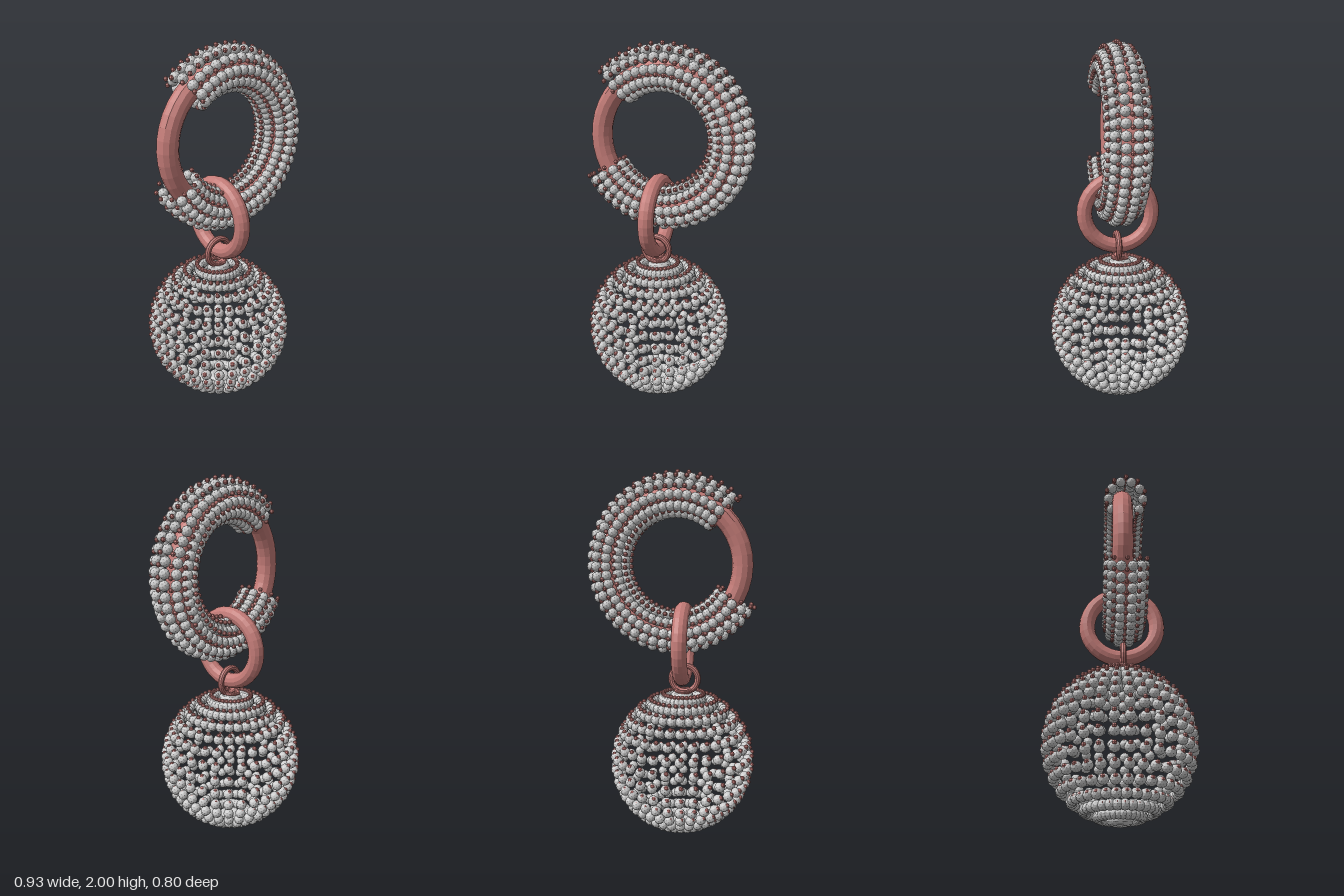
import * as THREE from 'three';
import { mergeGeometries } from 'three/addons/utils/BufferGeometryUtils.js';

const grey = new THREE.MeshStandardMaterial({ color: 0xcccccc, flatShading: true });
const rose = new THREE.MeshStandardMaterial({ color: 0xc47c78, flatShading: true });

function addMesh(parent, name, geometry, material) {
  const mesh = new THREE.Mesh(geometry, material);
  mesh.name = name;
  parent.add(mesh);
  return mesh;
}

// One merged mesh with a copy of the bead at every point
function addBeads(parent, name, bead, points, material) {
  const copies = points.map((p) => bead.clone().translate(p.x, p.y, p.z));
  return addMesh(parent, name, mergeGeometries(copies), material);
}

// Points in rows and columns over a sphere
function spherePoints(radius, rows, columns) {
  const points = [];
  for (let i = 0; i < rows; i++) {
    for (let j = 0; j < columns; j++) {
      points.push(new THREE.Vector3().setFromSphericalCoords(
        radius, ((i + 0.5) * Math.PI) / rows, ((j + 0.5) * 2 * Math.PI) / columns));
    }
  }
  return points;
}

// Points around the tube of a partial ring lying in the xy plane
function ringPoints(radius, tube, start, end, steps, around, phase) {
  const points = [];
  for (let i = 0; i <= steps; i++) {
    const a = THREE.MathUtils.degToRad(start + ((end - start) * i) / steps);
    for (let j = 0; j < around; j++) {
      const b = ((j + phase) * 2 * Math.PI) / around;
      const r = radius + tube * Math.cos(b);
      points.push(new THREE.Vector3(r * Math.cos(a), r * Math.sin(a), tube * Math.sin(b)));
    }
  }
  return points;
}

export function createModel() {
  const model = new THREE.Group();
  model.name = 'beadedPendant';
  const largeBead = new THREE.IcosahedronGeometry(0.028, 1);
  const smallBead = new THREE.SphereGeometry(0.013, 6, 4);

  // Ball of beads, each with a small bead sitting on its upper side
  const ball = new THREE.Group();
  ball.name = 'beadedBall';
  ball.position.set(-0.068, 0.407, 0);
  addBeads(ball, 'ballBeads', largeBead, spherePoints(0.374, 16, 32), grey);
  addBeads(ball, 'ballSmallBeads', smallBead, spherePoints(0.388, 16, 32), rose)
    .position.set(-0.008, 0.018, 0);
  model.add(ball);

  // Bare hoop, seen where the bead sleeve is open
  addMesh(model, 'hoop', new THREE.TorusGeometry(0.36, 0.056, 12, 40), rose)
    .position.set(-0.03, 1.5, 0.006);

  // Bead sleeve around most of the hoop
  const sleeve = new THREE.Group();
  sleeve.name = 'beadSleeve';
  sleeve.position.set(-0.03, 1.502, 0.026);
  addBeads(sleeve, 'sleeveBeads', largeBead, ringPoints(0.367, 0.097, -147, 130, 38, 10, 0.5), grey);
  addBeads(sleeve, 'sleeveSmallBeads', smallBead,
    ringPoints(0.367, 0.112, -150.6, 133.6, 39, 10, 0), rose).position.set(-0.008, 0.01, 0);
  model.add(sleeve);

  // Connecting link, at right angles to the hoop
  const link = addMesh(model, 'link', new THREE.TorusGeometry(0.19, 0.043, 12, 32), rose);
  link.rotation.y = Math.PI / 2;
  link.position.set(-0.072, 1.073, 0.01);

  // Small loop on top of the ball
  addMesh(model, 'ballLoop', new THREE.TorusGeometry(0.074, 0.017, 10, 24), rose)
    .position.set(-0.08, 0.877, 0.015);

  return model;
}
